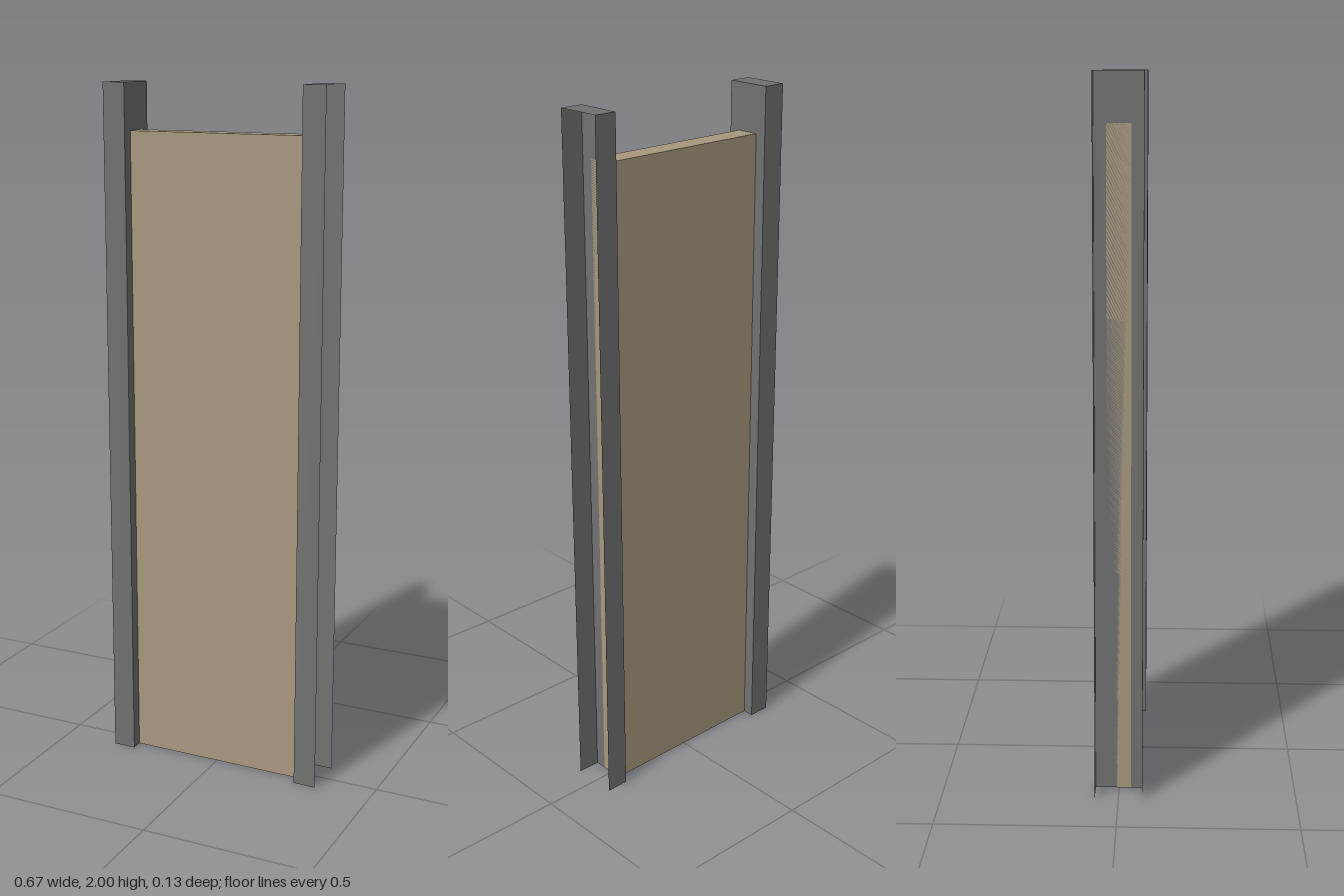
import * as THREE from 'three';

const HEIGHT = 2, POST_W = 0.0667, POST_D = 0.1333, INNER_X = 0.2667;
const PANEL_H = 1.867, PANEL_D = 0.0667;

const steel = new THREE.MeshStandardMaterial({ color: 0x717171, side: THREE.DoubleSide });
steel.name = 'greySteel';
const board = new THREE.MeshStandardMaterial({ color: 0xa8987d });
board.name = 'tanBoard';

// Thin sheet, turned to face the wanted way and moved into place
function sheet(name, w, h, [rx, ry], [x, y, z]) {
  const mesh = new THREE.Mesh(new THREE.PlaneGeometry(w, h), steel);
  mesh.name = name;
  mesh.rotation.set(rx, ry, 0);
  mesh.position.set(x, y, z);
  return mesh;
}

// Channel post: open on its outer side and at the bottom, capped on top
function channelPost(side) {
  const post = new THREE.Group();
  post.name = side > 0 ? 'leftPost' : 'rightPost';
  const x = side * (INNER_X + POST_W / 2);
  post.add(
    sheet('frontFlange', POST_W, HEIGHT, [0, 0], [x, HEIGHT / 2, POST_D / 2]),
    sheet('backFlange', POST_W, HEIGHT, [0, Math.PI], [x, HEIGHT / 2, -POST_D / 2]),
    sheet('web', POST_D, HEIGHT, [0, -side * Math.PI / 2], [side * INNER_X, HEIGHT / 2, 0]),
    sheet('topCap', POST_W, POST_D, [-Math.PI / 2, 0], [x, HEIGHT, 0])
  );
  return post;
}

export function createModel() {
  const model = new THREE.Group();
  model.name = 'wallPanelWithPosts';

  // Panel held between the two webs
  const panel = new THREE.Mesh(new THREE.BoxGeometry(INNER_X * 2, PANEL_H, PANEL_D), board);
  panel.name = 'panel';
  panel.position.y = PANEL_H / 2;
  model.add(panel);

  for (const side of [-1, 1]) model.add(channelPost(side));
  return model;
}
